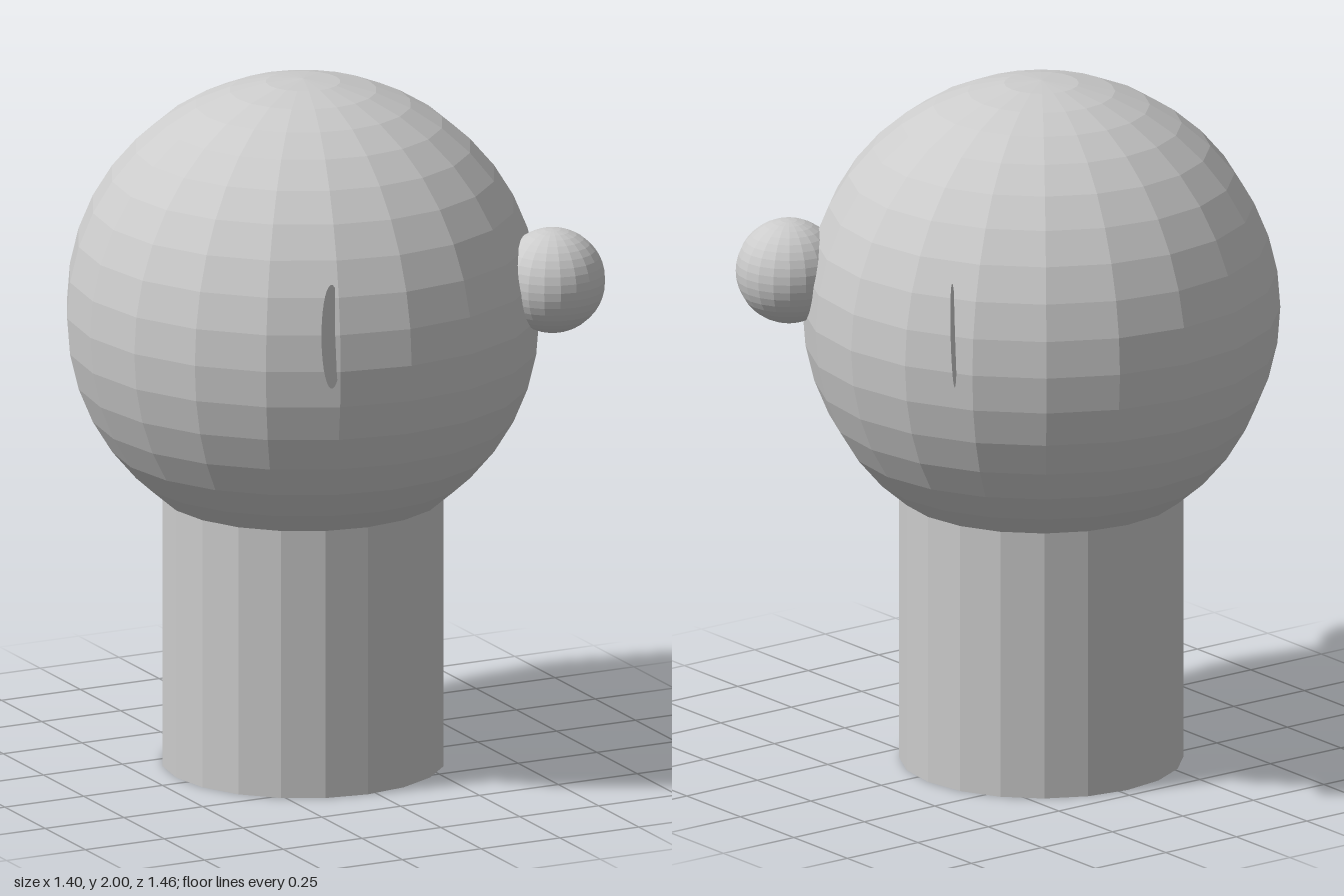
import * as THREE from 'three';

const smooth = { color: 0xcccccc, flatShading: true };
const solid = new THREE.MeshStandardMaterial(smooth);
const thin = new THREE.MeshStandardMaterial({ ...smooth, side: THREE.DoubleSide });

function addPart(group, name, geometry, x, y, z, material = solid) {
  const mesh = new THREE.Mesh(geometry, material);
  mesh.name = name;
  mesh.position.set(x, y, z);
  group.add(mesh);
  return mesh;
}

export function createModel() {
  const group = new THREE.Group();
  group.name = 'headBust';
  const cx = -0.026, cz = -0.055;

  // Head and the neck that runs up into it
  addPart(group, 'head', new THREE.SphereGeometry(0.675, 20, 20), cx, 1.325, cz);
  addPart(group, 'neck', new THREE.CylinderGeometry(0.402, 0.402, 0.8, 20), cx, 0.4, cz);

  // Round nose, set diagonally on the head
  addPart(group, 'nose', new THREE.SphereGeometry(0.15, 20, 20), 0.549, 1.441, 0.368);

  // Paper-thin disc ears, each with its own slight turn and tilt
  const ears = [
    { name: 'leftEar', at: [0.588, 1.457, -0.453], turn: 0.876, tilt: 0.04 },
    { name: 'rightEar', at: [-0.276, 1.44, 0.612], turn: 0.909, tilt: -0.055 },
  ];
  for (const { name, at, turn, tilt } of ears) {
    const ear = addPart(group, name, new THREE.CircleGeometry(0.147, 32), ...at, thin);
    ear.rotation.set(tilt, turn, 0, 'YXZ');
  }

  return group;
}
